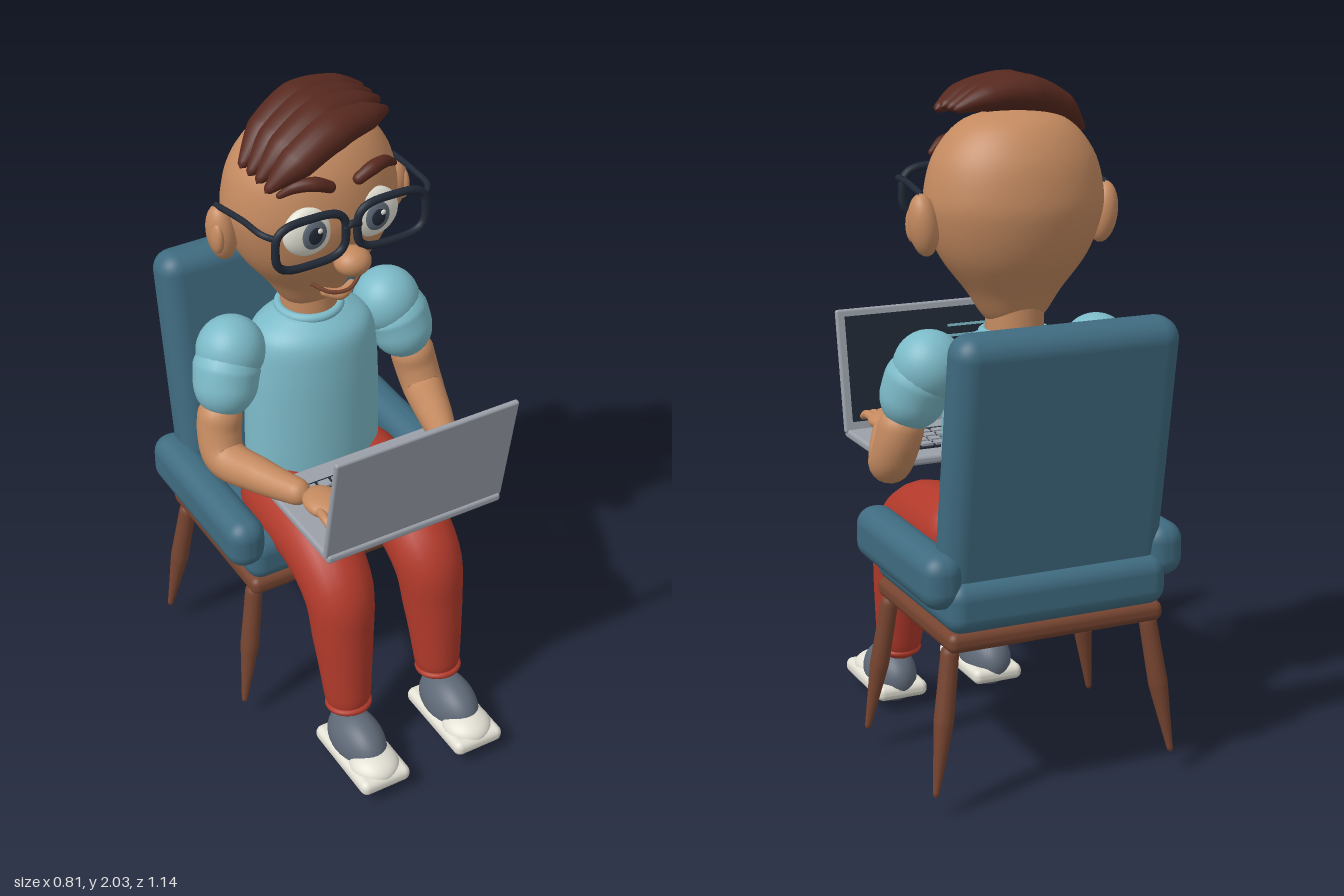
import * as THREE from 'three';
import { mergeVertices } from 'three/addons/utils/BufferGeometryUtils.js';
import { RoundedBoxGeometry } from 'three/addons/geometries/RoundedBoxGeometry.js';

const paint = (name, color) => {
  const m = new THREE.MeshStandardMaterial({ color });
  m.name = name;
  return m;
};
const V = (p) => new THREE.Vector3(...p);

export function createModel() {
  const skin = paint('skin', 0xc48a60), hairBrown = paint('hair brown', 0x57291f);
  const teal = paint('chair teal', 0x3f6b80), shirtBlue = paint('shirt blue', 0x7cbac8);
  const red = paint('trouser red', 0xb23a2b), wood = paint('wood', 0x764430);
  const grey = paint('shoe grey', 0x5f6977), white = paint('off white', 0xe2e0d4);
  const dark = paint('dark navy', 0x212936), silver = paint('silver', 0x9ba0a9);

  const model = new THREE.Group();
  const group = (name, parent = model) => {
    const g = new THREE.Group();
    g.name = name;
    parent.add(g);
    return g;
  };
  const add = (parent, name, geo, mat, pos = [0, 0, 0]) => {
    const m = new THREE.Mesh(geo, mat);
    m.name = name;
    m.position.set(...pos);
    parent.add(m);
    return m;
  };
  const ball = (parent, name, mat, pos, radii) => {
    const m = add(parent, name, new THREE.SphereGeometry(1, 32, 20), mat, pos);
    m.scale.set(...radii);
    return m;
  };
  const box = (parent, name, mat, pos, size, r = 0) => add(parent, name,
    r ? new RoundedBoxGeometry(...size, 4, r) : new THREE.BoxGeometry(...size), mat, pos);

  // Tube with a radius for each path point and rounded ends
  const limb = (parent, name, mat, pts, radii, flat = 1) => {
    const curve = new THREE.CatmullRomCurve3(pts.map(V));
    const seg = 48, sides = 20, length = curve.getLength();
    let geo = new THREE.TubeGeometry(curve, seg, 1, sides);
    const pos = geo.attributes.position, v = new THREE.Vector3();
    for (let i = 0; i <= seg; i++) {
      const c = curve.getPointAt(i / seg);
      const k = curve.getUtoTmapping(i / seg) * (radii.length - 1);
      const a = Math.min(Math.floor(k), radii.length - 2);
      let r = THREE.MathUtils.lerp(radii[a], radii[a + 1], k - a);
      const end = (Math.min(i, seg - i) / seg) * length;
      const q = 1 - Math.min(1, end / r);
      r *= Math.sqrt(Math.max(0.0001, 1 - q * q));
      for (let j = 0; j <= sides; j++) {
        const n = i * (sides + 1) + j;
        v.fromBufferAttribute(pos, n).sub(c).multiplyScalar(r);
        v.y *= flat;
        v.add(c);
        pos.setXYZ(n, v.x, v.y, v.z);
      }
    }
    geo.deleteAttribute('uv');
    geo.deleteAttribute('normal');
    geo = mergeVertices(geo, 1e-6);
    geo.computeVertexNormals();
    return add(parent, name, geo, mat);
  };
  const wire = (parent, name, mat, pts, r, closed = false) => add(parent, name,
    new THREE.TubeGeometry(new THREE.CatmullRomCurve3(pts.map(V), closed), closed ? 64 : 28, r, 10, closed), mat);
  // Smooth turned form from [radius, height] points
  const turned = (parent, name, mat, pts, pos, depth = 1) => {
    const curve = new THREE.SplineCurve(pts.map((p) => new THREE.Vector2(...p)));
    const profile = curve.getPoints(48).map((p) => new THREE.Vector2(Math.max(0, p.x), p.y));
    const m = add(parent, name, new THREE.LatheGeometry(profile, 48), mat, pos);
    m.scale.z = depth;
    return m;
  };

  // Chair
  const chair = group('chair');
  box(chair, 'seatFrame', wood, [0, 0.485, -0.215], [0.67, 0.06, 0.55], 0.025);
  box(chair, 'seatCushion', teal, [0, 0.585, -0.22], [0.68, 0.15, 0.58], 0.05);
  const back = box(chair, 'backrest', teal, [0, 0.965, -0.455], [0.675, 0.8, 0.135], 0.06);
  back.rotation.x = -0.15;
  for (const s of [-1, 1]) {
    box(chair, 'armrest', teal, [s * 0.343, 0.663, -0.21], [0.12, 0.16, 0.575], 0.055);
    for (const [z0, z1] of [[0.01, 0.047], [-0.43, -0.475]]) {
      limb(chair, 'chairLeg', wood,
        [[s * 0.308, 0.47, z0], [s * 0.34, 0.25, (z0 + z1) / 2], [s * 0.375, 0.035, z1]], [0.026, 0.029, 0.008]);
    }
  }

  // Torso
  const body = group('body');
  turned(body, 'shirt', shirtBlue,
    [[0, 0.62], [0.19, 0.63], [0.212, 0.75], [0.212, 0.95], [0.205, 1.12], [0.185, 1.22], [0.12, 1.27], [0.085, 1.28]],
    [0, 0, -0.175], 0.77);
  const collar = add(body, 'collar', new THREE.TorusGeometry(0.09, 0.014, 12, 40), shirtBlue, [0, 1.277, -0.185]);
  collar.rotation.x = Math.PI / 2;
  add(body, 'neck', new THREE.CylinderGeometry(0.082, 0.085, 0.14, 32), skin, [0, 1.31, -0.185]);

  // Arms, hands, legs and shoes, mirrored
  for (const s of [-1, 1]) {
    const arm = group(s > 0 ? 'leftArm' : 'rightArm');
    const m = (pts) => pts.map(([x, y, z]) => [s * x, y, z]);
    ball(arm, 'shoulder', shirtBlue, [s * 0.262, 1.2, -0.182], [0.103, 0.105, 0.1]);
    limb(arm, 'sleeve', shirtBlue, m([[0.25, 1.24, -0.185], [0.285, 1.16, -0.165], [0.318, 1.02, -0.125]]), [0.09, 0.1, 0.088]);
    limb(arm, 'forearm', skin,
      m([[0.315, 1.08, -0.14], [0.338, 0.97, -0.125], [0.342, 0.907, -0.085], [0.298, 0.907, 0.05], [0.235, 0.925, 0.22]]),
      [0.068, 0.066, 0.063, 0.053, 0.036]);
    ball(arm, 'palm', skin, [s * 0.21, 0.925, 0.265], [0.057, 0.028, 0.072]);
    for (let i = 0; i < 4; i++) {
      const x = 0.247 - i * 0.025, tip = 0.385 + (i % 3 ? 0.008 : -0.008);
      limb(arm, 'finger', skin, m([[x - 0.005, 0.928, 0.29], [x, 0.93, 0.345], [x, 0.912, tip]]), [0.014, 0.013, 0.01]);
    }
    limb(arm, 'thumb', skin, m([[0.185, 0.92, 0.24], [0.14, 0.915, 0.255], [0.122, 0.91, 0.31]]), [0.022, 0.018, 0.011]);

    const leg = group(s > 0 ? 'leftLeg' : 'rightLeg');
    limb(leg, 'trouserLeg', red,
      m([[0.13, 0.67, -0.24], [0.145, 0.673, -0.06], [0.15, 0.645, 0.14], [0.153, 0.56, 0.25], [0.157, 0.41, 0.285], [0.16, 0.13, 0.327]]),
      [0.125, 0.122, 0.114, 0.106, 0.092, 0.064]);
    const cuff = add(leg, 'trouserCuff', new THREE.TorusGeometry(0.061, 0.011, 10, 32), red, [s * 0.16, 0.172, 0.323]);
    cuff.rotation.x = Math.PI / 2 - 0.1;
    ball(leg, 'shoe', grey, [s * 0.165, 0.065, 0.385], [0.076, 0.093, 0.126]);
    box(leg, 'sole', white, [s * 0.165, 0.034, 0.417], [0.167, 0.05, 0.305], 0.022);
    ball(leg, 'toeCap', white, [s * 0.165, 0.05, 0.485], [0.076, 0.046, 0.08]);
    for (const [y, z] of [[0.144, 0.43], [0.125, 0.462]]) {
      wire(leg, 'lace', silver, m([[0.125, y - 0.015, z], [0.165, y, z], [0.205, y - 0.015, z]]), 0.005);
    }
  }

  // Head
  const head = group('head');
  turned(head, 'skull', skin,
    [[0, 1.3], [0.078, 1.315], [0.14, 1.4], [0.215, 1.5], [0.254, 1.6], [0.26, 1.68], [0.228, 1.79], [0.145, 1.877], [0, 1.912]],
    [0, 0, -0.178], 0.8);
  ball(head, 'nose', skin, [0, 1.555, 0.065], [0.054, 0.042, 0.05]);
  wire(head, 'mouth', wood, [[-0.085, 1.46, -0.02], [-0.04, 1.435, 0.012], [0.02, 1.43, 0.016], [0.085, 1.46, -0.02]], 0.006);
  limb(head, 'lowerLip', skin, [[-0.055, 1.425, -0.02], [0, 1.41, 0.0], [0.055, 1.425, -0.02]], [0.012, 0.018, 0.012]);
  for (const s of [-1, 1]) {
    const ear = ball(head, 'ear', skin, [s * 0.276, 1.6, -0.185], [0.042, 0.088, 0.048]);
    ear.rotation.z = -s * 0.12;
    ball(head, 'innerEar', skin, [s * 0.3, 1.6, -0.165], [0.018, 0.05, 0.03]);
    ball(head, 'eye', white, [s * 0.1, 1.65, 0.0], [0.082, 0.077, 0.036]);
    ball(head, 'iris', grey, [s * 0.1, 1.65, 0.028], [0.04, 0.045, 0.012]);
    ball(head, 'pupil', dark, [s * 0.1, 1.65, 0.036], [0.023, 0.027, 0.007]);
    ball(head, 'eyeGlint', white, [s * 0.1 + 0.012, 1.664, 0.041], [0.008, 0.008, 0.004]);
    limb(head, 'eyebrow', hairBrown,
      [[s * 0.03, 1.772, 0.02], [s * 0.09, 1.8, 0.018], [s * 0.14, 1.797, 0.0], [s * 0.188, 1.768, -0.022]],
      [0.016, 0.021, 0.018, 0.008]);

    // Spectacles: rounded-square rims and side arms
    const rim = [];
    for (let i = 0; i < 24; i++) {
      const a = (i / 24) * Math.PI * 2, c = Math.cos(a), n = Math.sin(a);
      rim.push([s * 0.128 + 0.11 * Math.sign(c) * Math.abs(c) ** 0.6, 1.652 + 0.073 * Math.sign(n) * Math.abs(n) ** 0.6, 0.06]);
    }
    wire(head, 'spectacleRim', dark, rim, 0.012, true);
    wire(head, 'spectacleArm', dark,
      [[s * 0.235, 1.69, 0.058], [s * 0.262, 1.7, 0.03], [s * 0.272, 1.7, -0.06], [s * 0.285, 1.685, -0.195]], 0.009);
  }
  wire(head, 'spectacleBridge', dark, [[-0.025, 1.665, 0.06], [0, 1.675, 0.065], [0.025, 1.665, 0.06]], 0.011);

  // Hair swept over the top in four locks
  const hair = group('hair', head);
  for (let i = 0; i < 4; i++) {
    const z = i * 0.055, drop = i === 3 ? 0.012 : 0;
    limb(hair, 'hairLock', hairBrown,
      [[0.198, 1.912 - drop, -0.215 + z * 0.75], [0.1, 1.94 - drop, -0.205 + z], [-0.03, 1.945 - drop, -0.185 + z * 1.1],
        [-0.15, 1.895 - drop, -0.155 + z * 1.05], [-0.245, 1.825 - drop / 2, -0.12 + z * 0.85]],
      [0.012, 0.045, 0.063, 0.054, 0.01], 0.85);
  }

  // Laptop
  const laptop = group('laptop');
  box(laptop, 'laptopBase', silver, [0, 0.855, 0.235], [0.575, 0.027, 0.385], 0.01);
  box(laptop, 'keyboardPanel', dark, [0, 0.87, 0.215], [0.42, 0.006, 0.2]);
  for (let row = 0; row < 4; row++) {
    for (let col = 0; col < 9; col++) {
      box(laptop, 'key', silver, [(col - 4) * 0.045, 0.876, 0.142 + row * 0.042], [0.034, 0.009, 0.028]);
    }
  }
  box(laptop, 'trackpad', silver, [0, 0.87, 0.35], [0.18, 0.005, 0.055]);
  const lid = group('laptopLid', laptop);
  lid.position.set(0, 0.858, 0.41);
  lid.rotation.x = 0.175;
  box(lid, 'lidShell', silver, [0, 0.19, 0], [0.588, 0.38, 0.018], 0.008);
  box(lid, 'screen', dark, [0, 0.195, -0.0095], [0.535, 0.325, 0.004]);
  for (let i = 0; i < 7; i++) {
    const w = 0.14 + 0.035 * ((i * 5) % 4);
    box(lid, 'screenLine', shirtBlue, [-0.21 + w / 2 + 0.03 * (i % 3), 0.3 - i * 0.032, -0.012], [w, 0.008, 0.003]);
  }
  return model;
}
